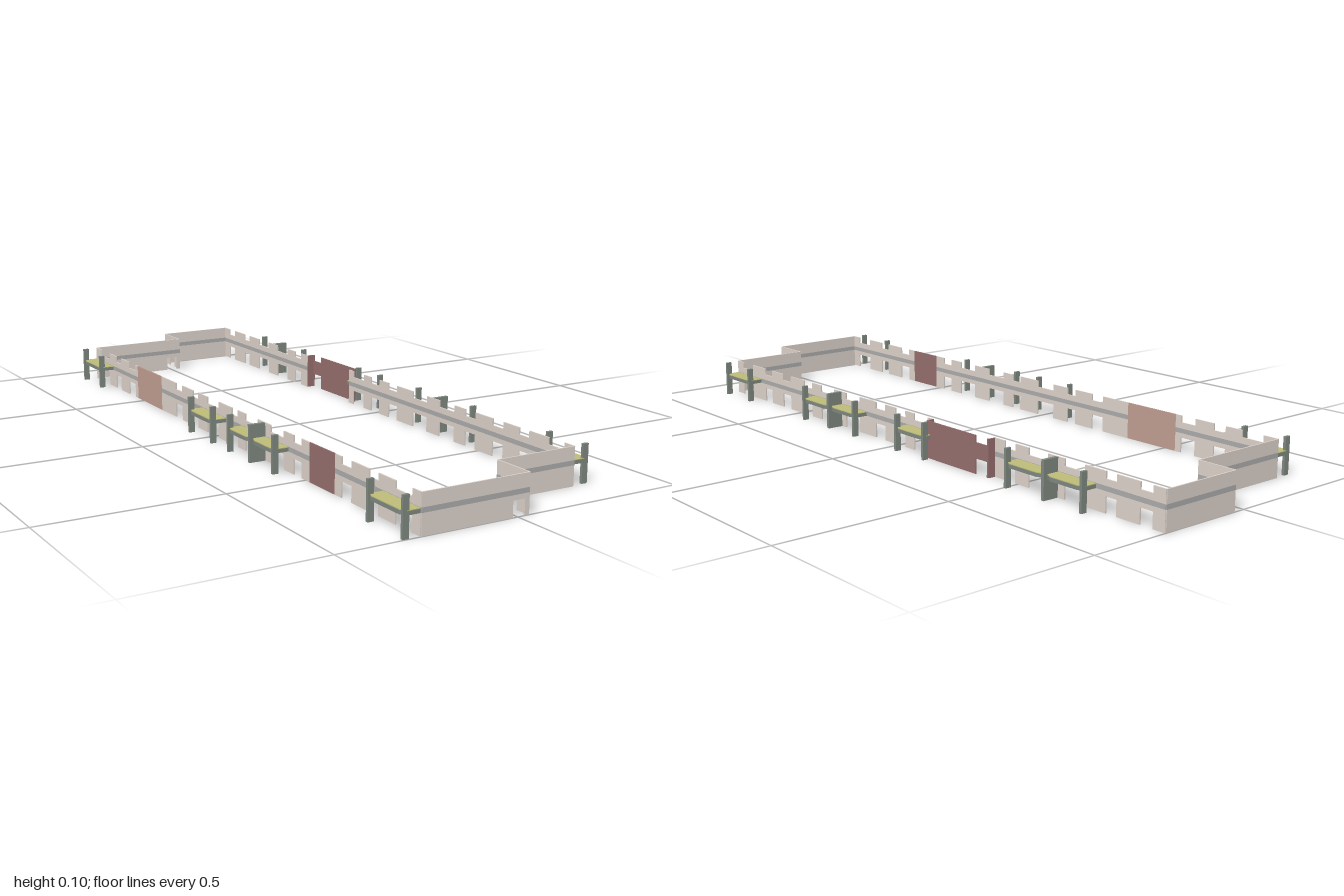
import * as THREE from 'three';

const H = 0.104, BAND0 = 0.055, BAND1 = 0.068, HEAD = 0.042, SILL = 0.085, T = 0.004, X = 0.273;
const mat = (color) => new THREE.MeshStandardMaterial({ color, side: THREE.DoubleSide });
const cream = mat(0xdbd0c8), grey = mat(0xaaaaaa), red = mat(0x946c6c), pink = mat(0xbf9c90);
const green = mat(0x7d877e), olive = mat(0xbcbb78);

// Upright strip from u = a to b, y0 to y1, notched from one edge at each opening
function strip(a, b, y0, y1, openings, edge, depth) {
  const s = new THREE.Shape();
  const base = edge === 'top' ? y0 : y1, rim = edge === 'top' ? y1 : y0;
  s.moveTo(a, base);
  s.lineTo(a, rim);
  for (const [p, q] of openings) {
    s.lineTo(p, rim);
    s.lineTo(p, depth);
    s.lineTo(q, depth);
    s.lineTo(q, rim);
  }
  s.lineTo(b, rim);
  s.lineTo(b, base);
  return new THREE.ExtrudeGeometry(s, { depth: T, bevelEnabled: false }).translate(0, 0, -T / 2);
}

// Wall along x (at z = c) or along z (at x = c), with two storeys of openings
function wall(name, axis, c, a, b, { windows = [], doors = [], material = cream, banded = true } = {}) {
  const g = new THREE.Group();
  g.name = name;
  const low = [...windows, ...doors].sort((p, q) => p[0] - q[0]);
  const add = (part, geo, m) => {
    const mesh = new THREE.Mesh(geo, m);
    mesh.name = part;
    g.add(mesh);
  };
  add('lowerWall', strip(a, b, 0, BAND0, low, 'bottom', HEAD), material);
  add('floorBand', strip(a, b, BAND0, BAND1, [], 'top', 0), banded ? grey : material);
  add('upperWall', strip(a, b, BAND1, H, windows, 'top', SILL), material);
  if (axis === 'z') {
    g.rotation.y = -Math.PI / 2;
    g.position.x = c;
  } else g.position.z = c;
  return g;
}

function box(name, w, h, d, x, y, z, m) {
  const mesh = new THREE.Mesh(new THREE.BoxGeometry(w, h, d), m);
  mesh.name = name;
  mesh.position.set(x, y, z);
  return mesh;
}

// Balcony slab with clipped outer corners, lying flat on the given side
function slab(name, side, a, b, inset, y, h, m) {
  const i = X * side, o = (0.321 - inset) * side, c = 0.009 * side, k = 0.018;
  const s = new THREE.Shape([[i, a], [o - c, a], [o, a + k], [o, b - k], [o - c, b], [i, b]]
    .map(([x, z]) => new THREE.Vector2(x, z)));
  const geo = new THREE.ExtrudeGeometry(s, { depth: h, bevelEnabled: false });
  geo.rotateX(Math.PI / 2).translate(0, y + h, 0);
  const mesh = new THREE.Mesh(geo, m);
  mesh.name = name;
  return mesh;
}

function balcony(side, a, b, posts) {
  const g = new THREE.Group();
  g.name = 'balcony';
  g.add(slab('balconySlab', side, a, b, 0, BAND0, 0.01, green));
  g.add(slab('balconyFloor', side, a, b, 0.001, BAND0 + 0.01, 0.002, olive));
  // End posts stand at the outer corners
  for (const z of posts) g.add(box('balconyPost', 0.017, H, 0.008, 0.3135 * side, H / 2, z, green));
  return g;
}

export function createModel() {
  const model = new THREE.Group();
  model.name = 'apartmentFloorShell';

  // Stepped end walls with entrances
  const ends = [['front', 0.998, 0.88], ['back', -0.885, -0.998]];
  for (const [name, zRight, zLeft] of ends) {
    model.add(wall(name + 'WallRight', 'x', zRight, -X, 0.033, { doors: [[-0.015, 0.02]] }));
    model.add(wall(name + 'WallLeft', 'x', zLeft, 0.033, X));
    const mid = (zRight + zLeft) / 2;
    model.add(wall(name + 'StepWall', 'z', 0.033, zLeft, zRight, { doors: [[mid - 0.019, mid + 0.019]] }));
  }

  // Long wall on the model's left, interrupted by a projecting panel
  model.add(wall('leftWallRear', 'z', X, -0.998, -0.41, {
    windows: [[-0.96, -0.92], [-0.845, -0.81], [-0.74, -0.67], [-0.61, -0.54], [-0.49, -0.45]],
  }));
  model.add(wall('leftPanel', 'z', 0.295, -0.41, -0.155, {
    windows: [[-0.405, -0.36]], material: red, banded: false,
  }));
  for (const z of [-0.41, -0.155]) {
    model.add(wall('leftPanelReturn', 'x', z, X, 0.295, { material: red, banded: false }));
  }
  model.add(wall('leftWallFront', 'z', X, -0.155, 0.88, {
    windows: [[-0.13, -0.07], [-0.03, 0.015], [0.065, 0.11], [0.19, 0.26], [0.32, 0.39],
      [0.44, 0.485], [0.56, 0.605], [0.67, 0.71], [0.785, 0.845]],
  }));

  // Long wall on the model's right, with two flush coloured panels
  model.add(wall('rightWallRear', 'z', -X, -0.885, -0.54, {
    windows: [[-0.84, -0.77], [-0.715, -0.675], [-0.61, -0.56]],
  }));
  model.add(wall('rightPanelRear', 'z', -X, -0.54, -0.36, { material: pink, banded: false }));
  model.add(wall('rightWallMiddle', 'z', -X, -0.36, 0.52, {
    windows: [[-0.26, -0.215], [-0.145, -0.11], [-0.05, 0.02], [0.1, 0.135], [0.18, 0.25],
      [0.32, 0.39], [0.44, 0.48]],
  }));
  model.add(wall('rightPanelFront', 'z', -X, 0.52, 0.64, { material: red, banded: false }));
  model.add(wall('rightWallFront', 'z', -X, 0.64, 0.998, {
    windows: [[0.67, 0.715], [0.79, 0.83], [0.9, 0.965]],
  }));

  // Balconies: single ones have two posts, pairs share a partition
  const singles = [[1, -0.17, -0.04], [1, 0.735, 0.877], [-1, -0.885, -0.74], [-1, -0.08, 0.065], [-1, 0.85, 0.998]];
  for (const [side, a, b] of singles) model.add(balcony(side, a, b, [a + 0.004, b - 0.004]));
  const pairs = [[1, -0.778, -0.642, -0.5], [1, 0.155, 0.286, 0.423], [-1, 0.16, 0.287, 0.415]];
  for (const [side, a, m, b] of pairs) {
    model.add(balcony(side, a, m - 0.006, [a + 0.004]));
    model.add(balcony(side, m + 0.006, b, [b - 0.004]));
    model.add(box('balconyPartition', 0.048, H, 0.01, 0.298 * side, H / 2, m, green));
  }
  return model;
}
